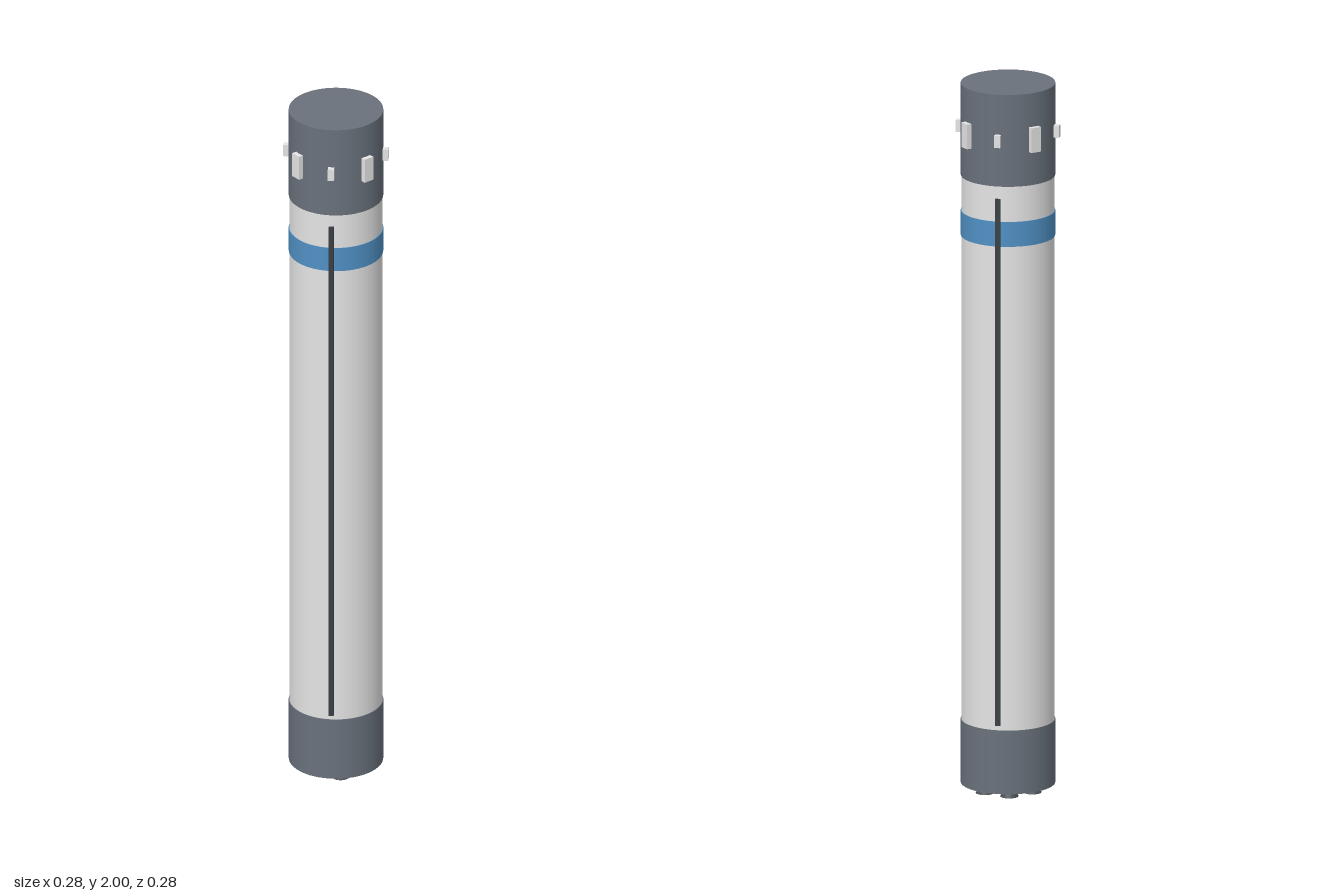
import * as THREE from 'three';

const mat = (name, color, side = THREE.FrontSide) => {
  const m = new THREE.MeshStandardMaterial({ color, side });
  m.name = name;
  return m;
};

export function createModel() {
  const root = new THREE.Group();
  root.name = 'boosterStage';
  const white = mat('paleGrey', 0xe4e4e4);
  const slate = mat('slateGrey', 0x69717b);
  const blue = mat('bandBlue', 0x5090c4);
  const dark = mat('darkGrey', 0x3a3f45);
  const bell = mat('nozzleGrey', 0x4c5158, THREE.DoubleSide);

  const add = (parent, name, geometry, material, x = 0, y = 0, z = 0) => {
    const mesh = new THREE.Mesh(geometry, material);
    mesh.name = name;
    mesh.position.set(x, y, z);
    parent.add(mesh);
    return mesh;
  };
  // Upright cylinder between two heights
  const drum = (name, r, y0, y1, material, open = false) =>
    add(root, name, new THREE.CylinderGeometry(r, r, y1 - y0, 64, 1, open), material, 0, (y0 + y1) / 2);

  // Main stack
  drum('engineSection', 0.129, 0.02, 0.2, slate);
  drum('tankBody', 0.127, 0.2, 1.74, white, true);
  drum('blueBand', 0.129, 1.57, 1.64, blue);
  drum('interstage', 0.129, 1.74, 2, slate);

  // Box standing off the hull, facing outwards at a given angle
  const hullBox = (name, angle, inner, outer, w, h, y, material) => {
    const r = (inner + outer) / 2;
    const box = add(root, name, new THREE.BoxGeometry(w, h, outer - inner), material,
      Math.sin(angle) * r, y, Math.cos(angle) * r);
    box.rotation.y = angle;
  };

  // Cable raceways on opposite sides
  for (const angle of [-Math.PI / 4, Math.PI * 3 / 4])
    hullBox('cableRaceway', angle, 0.12, 0.136, 0.014, 1.49, 0.96, dark);

  // Large pads on the axes, small ones between them
  for (let i = 0; i < 8; i++) {
    const angle = i * Math.PI / 4;
    if (i % 2) hullBox('smallThruster', angle, 0.118, 0.144, 0.017, 0.034, 1.87, white);
    else hullBox('gridPad', angle, 0.118, 0.142, 0.03, 0.07, 1.87, white);
  }

  // Centre nozzle and a ring of six
  const profile = [[0, 0.021], [0.016, 0.021], [0.021, 0.011], [0.025, 0]]
    .map(([r, y]) => new THREE.Vector2(r, y));
  const bellGeometry = new THREE.LatheGeometry(profile.reverse(), 24);
  add(root, 'centreNozzle', bellGeometry, bell);
  for (let i = 0; i < 6; i++) {
    const a = i * Math.PI / 3;
    add(root, 'ringNozzle', bellGeometry, bell, Math.cos(a) * 0.075, 0, Math.sin(a) * 0.075);
  }
  return root;
}
